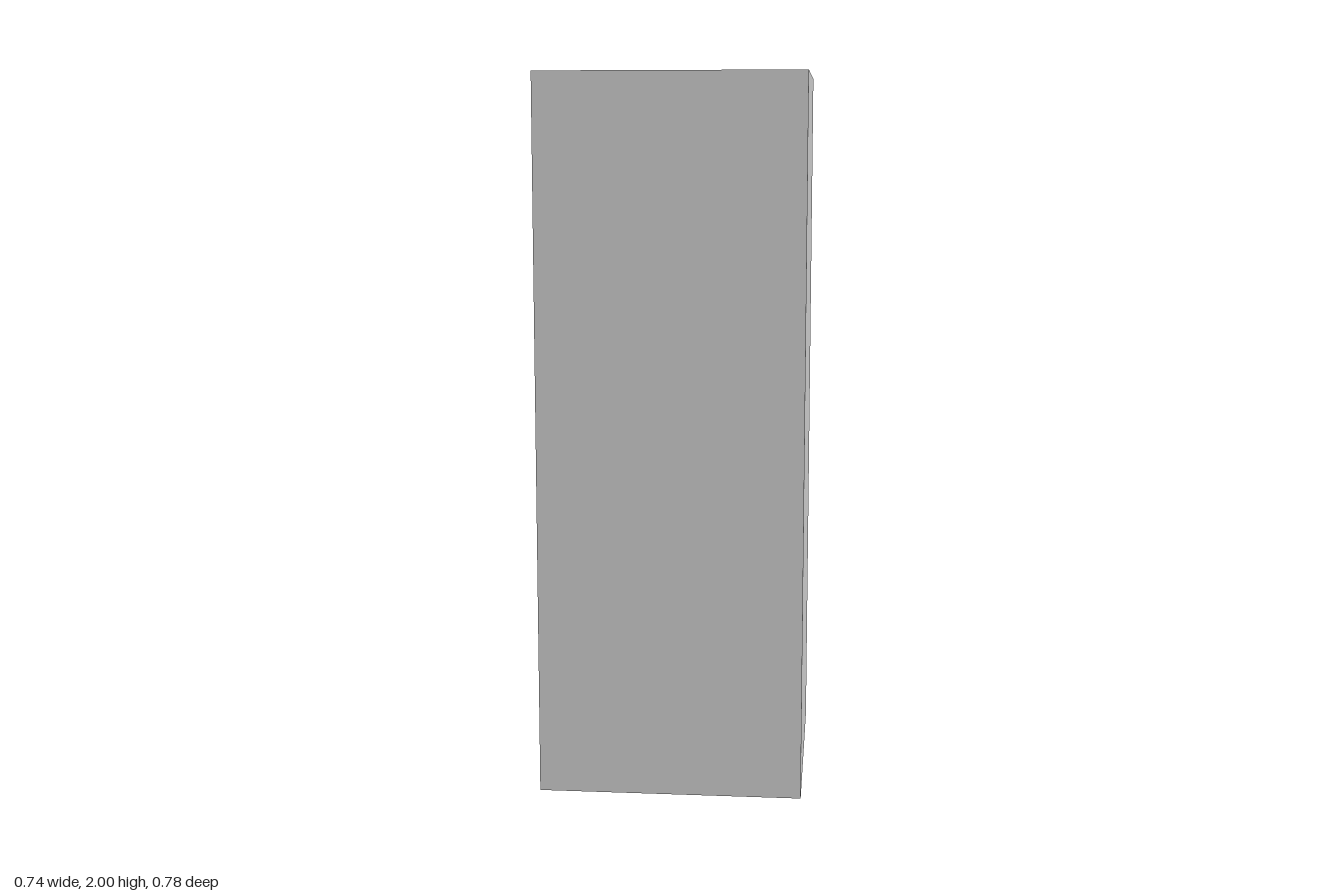
import * as THREE from 'three';

export function createModel() {
  const group = new THREE.Group();
  const material = new THREE.MeshStandardMaterial({ color: 0xcccccc, flatShading: true });

  const add = (name, geometry, x, y, z) => {
    const mesh = new THREE.Mesh(geometry, material);
    mesh.name = name;
    mesh.position.set(x, y, z);
    group.add(mesh);
    return mesh;
  };

  // Cabinet body
  add('cabinet', new THREE.BoxGeometry(0.736, 2, 0.737), 0, 1, 0.0195);

  // Two rows of paired doors, each with an upright octagonal handle
  const rows = [
    { name: 'upper', door: [1.083, 1.918], handle: [1.156, 1.594] },
    { name: 'lower', door: [0.13, 1.035], handle: [0.447, 0.823] },
  ];
  for (const { name, door, handle } of rows) {
    for (const side of [-1, 1]) {
      const label = name + (side > 0 ? 'Left' : 'Right');
      add(label + 'Door', new THREE.BoxGeometry(0.317, door[1] - door[0], 0.018),
        side * 0.174, (door[0] + door[1]) / 2, -0.356);
      const bar = new THREE.CylinderGeometry(0.0175, 0.0175, handle[1] - handle[0], 8);
      bar.rotateY(Math.PI / 8);
      add(label + 'Handle', bar, side * 0.063, (handle[0] + handle[1]) / 2, -0.373);
    }
  }

  // Flattened rail across the join between the rows
  const rail = new THREE.CylinderGeometry(0.015, 0.015, 0.672, 8);
  rail.rotateY(Math.PI / 8).rotateZ(Math.PI / 2).scale(1, 1.05, 0.54);
  add('middleRail', rail, 0, 1.036, -0.361);

  return group;
}
